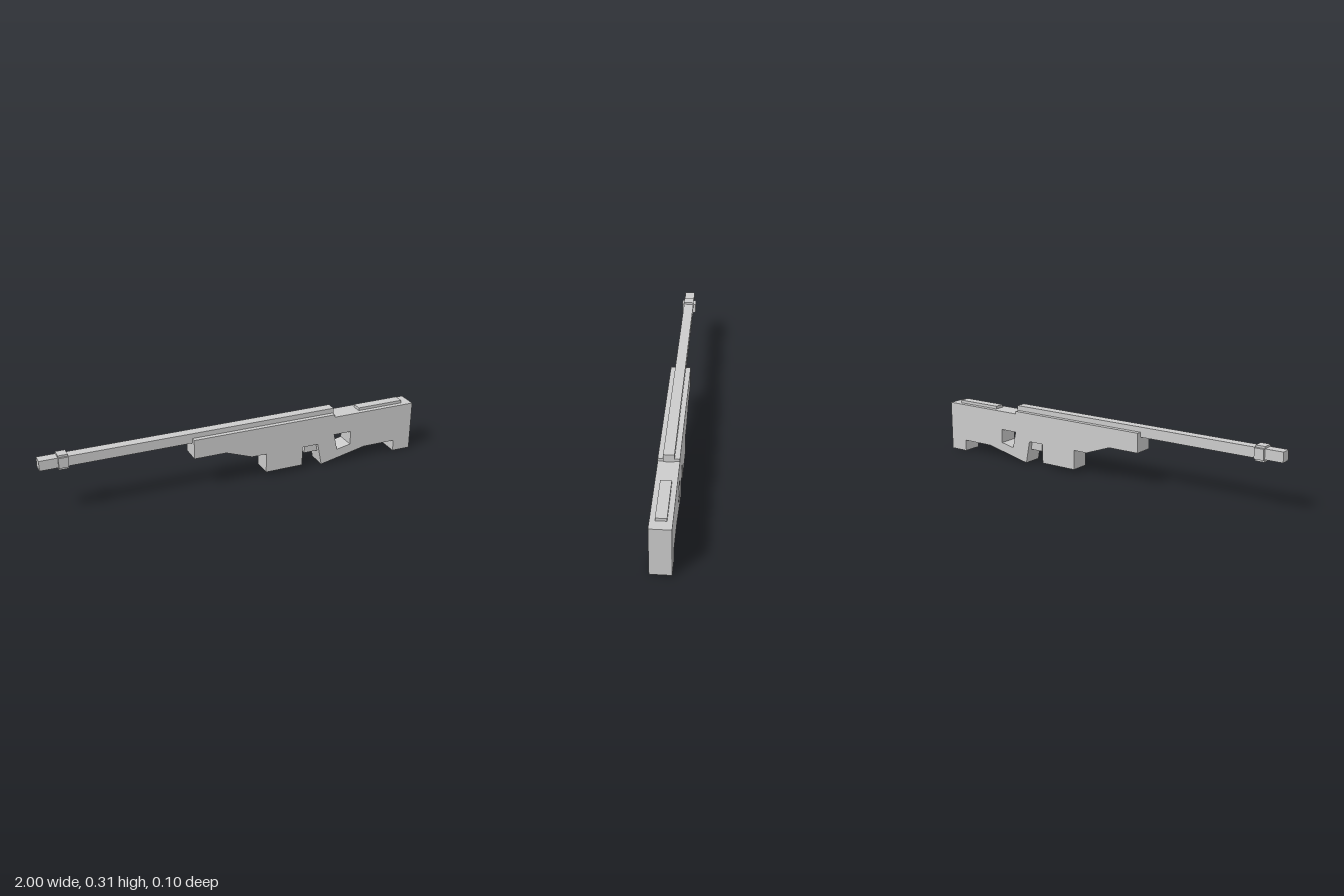
import * as THREE from 'three';

const material = new THREE.MeshStandardMaterial({ color: 0xcccccc, flatShading: true });

// Box given by its minimum and maximum corners
function box(name, [x0, y0, z0], [x1, y1, z1]) {
  const mesh = new THREE.Mesh(new THREE.BoxGeometry(x1 - x0, y1 - y0, z1 - z0), material);
  mesh.name = name;
  mesh.position.set((x0 + x1) / 2, (y0 + y1) / 2, (z0 + z1) / 2);
  return mesh;
}

const points = (list) => list.map(([x, y]) => new THREE.Vector2(x, y));

export function createModel() {
  const model = new THREE.Group();
  model.name = 'rifle';

  // Stock with fore-end, magazine, grip and butt in one side outline
  const outline = new THREE.Shape(points([
    [-0.24, 0.175], [-0.07, 0.175], [0.07, 0.125], [0.15, 0.125],
    [0.15, 0.022], [0.355, 0.022], [0.355, 0.124], [0.443, 0.124],
    [0.467, 0.004], [0.72, 0.06], [0.9, 0.06], [0.9, 0],
    [1, 0], [1, 0.262], [0.535, 0.262], [0.535, 0.276], [-0.24, 0.276],
  ]));
  // Thumbhole through the grip
  outline.holes.push(new THREE.Path(points([
    [0.537, 0.162], [0.634, 0.162], [0.634, 0.089], [0.557, 0.073],
  ])));
  const stock = new THREE.Mesh(
    new THREE.ExtrudeGeometry(outline, { depth: 0.102, bevelEnabled: false }), material);
  stock.name = 'stock';
  stock.position.z = -0.05;
  model.add(stock);

  // Square barrel running back into the receiver
  model.add(box('barrel', [-1, 0.251, -0.025], [0.54, 0.302, 0.027]));

  // Cross-shaped collar near the muzzle
  const collar = new THREE.Group();
  collar.name = 'muzzleCollar';
  collar.add(box('collarUpright', [-0.909, 0.238, -0.025], [-0.861, 0.313, 0.027]));
  collar.add(box('collarCrosspiece', [-0.909, 0.25, -0.039], [-0.861, 0.303, 0.037]));
  model.add(collar);

  // Cheek pad on the butt
  model.add(box('cheekPad', [0.69, 0.255, -0.025], [0.946, 0.277, 0.027]));

  // Trigger between magazine and grip
  model.add(box('trigger', [0.378, 0.076, -0.025], [0.452, 0.13, 0.027]));

  return model;
}
